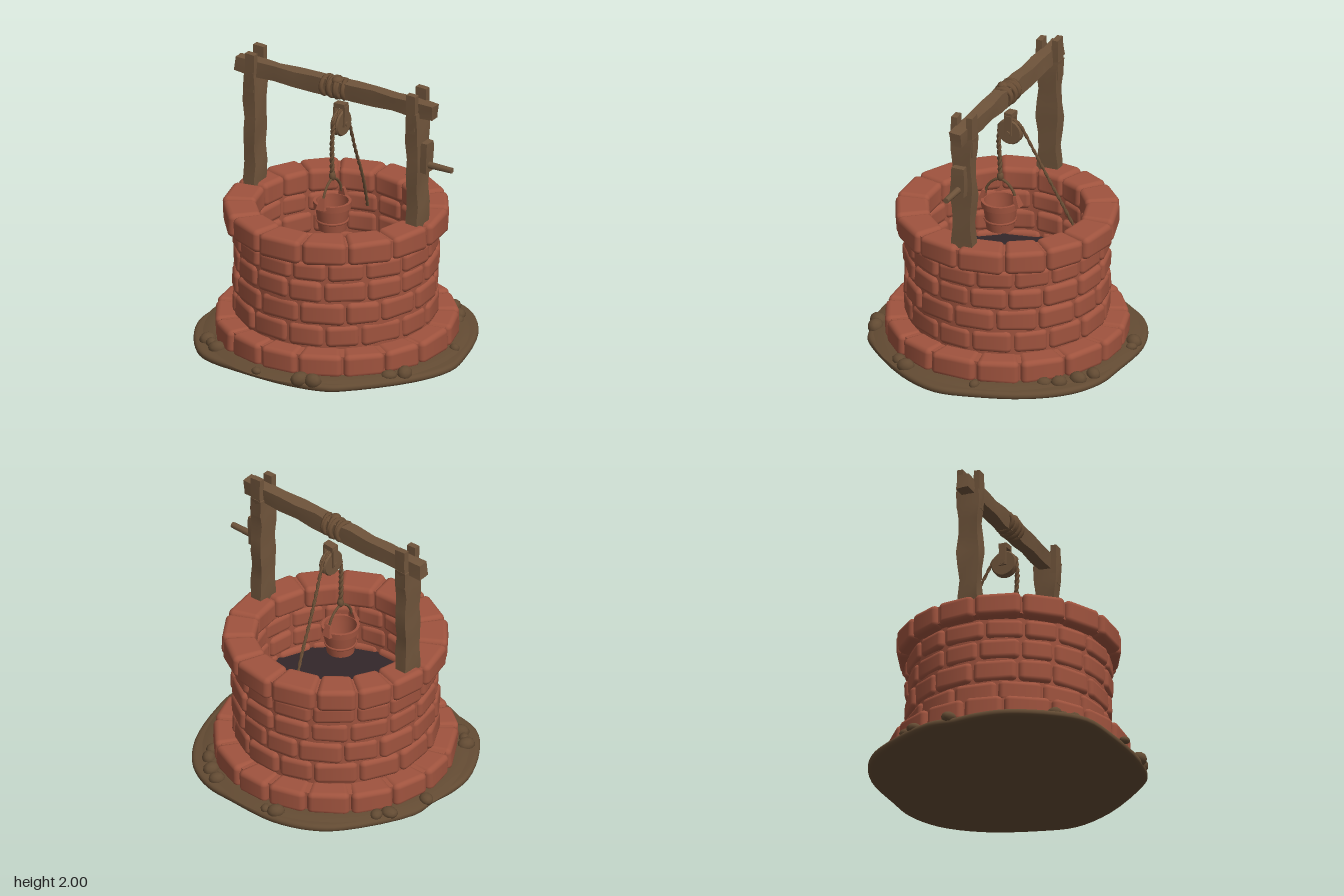
import * as THREE from 'three';
import { mergeGeometries, toCreasedNormals } from 'three/addons/utils/BufferGeometryUtils.js';
import { RoundedBoxGeometry } from 'three/addons/geometries/RoundedBoxGeometry.js';

export function createModel() {
  const model = new THREE.Group();
  model.name = 'well';

  const material = (name, color) => {
    const m = new THREE.MeshStandardMaterial({ color });
    m.name = name;
    return m;
  };
  const brick = material('red brick', 0x9f533e);
  const wood = material('weathered wood', 0x6f543b);
  const earth = material('earth', 0x634b33);
  const rope = material('rope', 0x6a4e35);
  const dark = material('dark floor', 0x32272a);

  let seed = 7;
  const rand = () => (seed = (seed * 16807) % 2147483647) / 2147483647;
  const wobble = (x, y, z) => Math.sin(x * 17 + y * 9) * Math.cos(z * 15 - y * 11 + x * 5);

  const add = (name, geometry, mat, parent = model, x = 0, y = 0, z = 0) => {
    const mesh = new THREE.Mesh(geometry, mat);
    mesh.name = name;
    mesh.position.set(x, y, z);
    parent.add(mesh);
    return mesh;
  };

  // Irregular ground disc
  const rimPoints = [[0, -0.95], [0.22, -0.94], [0.48, -0.82], [0.74, -0.56], [0.9, -0.37], [0.98, -0.13],
    [0.95, 0.18], [0.79, 0.54], [0.64, 0.75], [0.35, 0.88], [-0.15, 0.93], [-0.27, 0.91], [-0.5, 0.76],
    [-0.79, 0.45], [-0.97, 0.19], [-0.98, -0.05], [-0.89, -0.37], [-0.76, -0.54], [-0.63, -0.65], [-0.5, -0.79]];
  const outline = new THREE.CatmullRomCurve3(rimPoints.map(([x, z]) => new THREE.Vector3(x, -z, 0)), true, 'centripetal');
  const disc = new THREE.Shape(outline.getPoints(80).slice(0, 80).map(p => new THREE.Vector2(p.x, p.y)).reverse());
  const ground = new THREE.ExtrudeGeometry(disc, {
    depth: 0.012, bevelThickness: 0.02, bevelSize: 0.03, bevelOffset: -0.03, bevelSegments: 3, curveSegments: 1,
  });
  ground.rotateX(-Math.PI / 2).translate(0, 0.02, 0);
  add('ground', toCreasedNormals(ground, 0.7), earth);

  // Earth banked against the wall
  const bank = [[0.93, 0.045], [0.88, 0.062], [0.83, 0.07], [0.78, 0.07]].map(p => new THREE.Vector2(...p));
  add('earthBank', new THREE.LatheGeometry(bank, 48), earth);

  // Clods lying around the foot
  const clods = [[-0.32, -0.82, 0.055], [-0.23, -0.84, 0.045], [0.45, -0.76, 0.055], [0.52, -0.72, 0.035],
    [0.83, -0.34, 0.05], [0.86, -0.22, 0.055], [0.87, -0.08, 0.05], [0.84, 0.02, 0.045], [-0.89, -0.02, 0.055],
    [-0.86, 0.14, 0.055], [-0.88, 0.05, 0.04], [0.19, 0.84, 0.05], [0.3, 0.83, 0.055], [-0.42, 0.78, 0.06],
    [-0.34, 0.83, 0.055], [-0.58, -0.67, 0.05], [0.72, 0.48, 0.035], [-0.68, 0.58, 0.035]];
  const clodParts = clods.map(([x, z, r]) => {
    const g = new THREE.IcosahedronGeometry(r, 1);
    g.scale(1.15, 0.7 + 0.3 * rand(), 0.95).rotateY(rand() * 6);
    return g.translate(x, 0.062, z);
  });
  add('clods', mergeGeometries(clodParts), earth);

  // One brick: a rounded box bent round the y axis
  function bentBrick(angle, span, y0, y1, rIn, rOut) {
    const mid = (rIn + rOut) / 2;
    const g = new RoundedBoxGeometry(span * mid - 0.008, y1 - y0 - 0.004, rOut - rIn, 3, 0.036);
    const p = g.attributes.position, n = g.attributes.normal;
    const v = new THREE.Vector3(), up = new THREE.Vector3(0, 1, 0);
    const tilt = (rand() - 0.5) * 0.05, push = (rand() - 0.5) * 0.014;
    for (let i = 0; i < p.count; i++) {
      const a = angle + p.getX(i) / mid;
      const r = mid + p.getZ(i) + push + p.getX(i) * tilt;
      const x = r * Math.sin(a), z = r * Math.cos(a), y = (y0 + y1) / 2 + p.getY(i);
      const k = 1 + 0.008 * wobble(x, y, z);
      p.setXYZ(i, x * k, y + 0.004 * wobble(z, y, x), z * k);
      v.fromBufferAttribute(n, i).applyAxisAngle(up, a);
      n.setXYZ(i, v.x, v.y, v.z);
    }
    return g;
  }

  // Courses: bottom, top, inner radius, outer radius, bricks, phase
  const courses = [
    [0.05, 0.22, 0.56, 0.835, 17, 0.03], [0.22, 0.385, 0.55, 0.705, 15, -0.12], [0.385, 0.55, 0.55, 0.705, 15, 0.09],
    [0.55, 0.705, 0.55, 0.705, 16, -0.15], [0.705, 0.85, 0.55, 0.705, 16, -0.11], [0.85, 1.02, 0.54, 0.77, 15, 0.1],
  ];
  const wall = new THREE.Group();
  wall.name = 'wall';
  model.add(wall);
  for (const [y0, y1, rIn, rOut, count, phase] of courses) {
    const weights = Array.from({ length: count }, () => 0.86 + 0.28 * rand());
    const total = weights.reduce((a, b) => a + b);
    let a = phase - Math.PI / count;
    const parts = weights.map(w => {
      const span = w / total * Math.PI * 2;
      a += span;
      return bentBrick(a - span / 2, span, y0, y1, rIn, rOut);
    });
    add('brickCourse', mergeGeometries(parts), brick, wall);
  }

  // Solid core filling the joints
  const core = [[0.57, 0.06], [0.8, 0.06], [0.8, 0.205], [0.682, 0.21], [0.682, 0.86], [0.74, 0.87], [0.74, 0.995],
    [0.57, 0.995], [0.57, 0.06]].map(p => new THREE.Vector2(...p));
  add('wallCore', toCreasedNormals(new THREE.LatheGeometry(core, 48), 0.6), brick, wall);

  // Dark floor down the shaft
  add('shaftFloor', new THREE.CylinderGeometry(0.575, 0.575, 0.02, 40), dark, model, 0, 0.5, 0);

  // Frame: local x runs along the crossbeam
  const frame = new THREE.Group();
  frame.name = 'frame';
  frame.rotation.y = -Math.PI / 4;
  model.add(frame);

  // Rough hewn timber: a subdivided box with uneven faces
  function timber(w, h, d, rough = 0.008, flare = 0) {
    const g = new THREE.BoxGeometry(w, h, d, w > 0.4 ? 10 : 2, h > 0.4 ? 8 : 3, 2);
    const p = g.attributes.position;
    for (let i = 0; i < p.count; i++) {
      const x = p.getX(i), y = p.getY(i), z = p.getZ(i);
      const s = 1 + flare * y / h;
      p.setXYZ(i, x * s + rough * wobble(y, z, x), y + rough * wobble(x * 2, z, y), z * s + rough * wobble(z, x, y));
    }
    return toCreasedNormals(g, 0.6);
  }

  for (const side of [-1, 1]) {
    add('post', timber(0.09, 0.9, 0.15, 0.01, 0.06), wood, frame, side * 0.66, 1.39, 0);
    add('postProng', timber(0.085, 0.3, 0.045, 0.004), wood, frame, side * 0.66, 1.85, -0.06);
    add('postProng', timber(0.075, 0.28, 0.045, 0.004), wood, frame, side * 0.655, 1.84, 0.06);
  }
  add('crossbeam', timber(1.6, 0.115, 0.085, 0.01), wood, frame, 0, 1.863, 0);

  // Rope lashing in the middle of the beam
  for (let i = 0; i < 6; i++) {
    const coil = add('beamLashing', new THREE.TorusGeometry(0.066, 0.018, 6, 16), rope, frame, -0.075 + i * 0.03, 1.864, 0);
    coil.rotation.set(0, Math.PI / 2 + (i % 2 ? 0.2 : -0.14), 0);
    coil.scale.setScalar(0.94 + 0.1 * rand());
  }
  add('lashingKnot', new THREE.IcosahedronGeometry(0.04, 1), rope, frame, 0.02, 1.925, 0.02).scale.y = 0.7;

  // Crank on the outside of one post
  add('crankArm', timber(0.05, 0.22, 0.09, 0.006), wood, frame, 0.735, 1.52, 0);
  const handle = add('crankHandle', new THREE.CylinderGeometry(0.021, 0.026, 0.24, 8), wood, frame, 0.82, 1.463, 0);
  handle.rotation.z = -Math.PI / 2;

  // Pulley with its hanger
  const pulley = new THREE.Group();
  pulley.name = 'pulley';
  pulley.position.set(0.014, 1.59, -0.035);
  frame.add(pulley);
  const wheelProfile = [[0, -0.03], [0.085, -0.03], [0.093, -0.018], [0.075, 0], [0.093, 0.018], [0.085, 0.03], [0, 0.03]];
  const wheel = new THREE.LatheGeometry(wheelProfile.map(p => new THREE.Vector2(...p)), 20);
  add('pulleyWheel', toCreasedNormals(wheel, 0.6), wood, pulley).rotation.z = Math.PI / 2;
  for (const side of [-1, 1]) add('pulleyCheek', timber(0.015, 0.15, 0.05, 0.002), wood, pulley, side * 0.04, 0.055, 0);
  add('pulleyHook', timber(0.085, 0.035, 0.055, 0.003), wood, pulley, 0, 0.13, 0);
  const axle = add('pulleyAxle', new THREE.CylinderGeometry(0.018, 0.018, 0.11, 8), wood, pulley);
  axle.rotation.z = Math.PI / 2;

  // Two strand twisted rope along a path
  function twistedRope(points, radius, turns) {
    const path = new THREE.CatmullRomCurve3(points.map(p => new THREE.Vector3(...p)));
    return mergeGeometries([0, Math.PI].map(offset => {
      const strand = path.getSpacedPoints(60).map((p, i) => {
        const a = offset + i / 60 * turns * Math.PI * 2;
        return p.add(new THREE.Vector3(Math.cos(a) * radius * 0.6, 0, Math.sin(a) * radius * 0.6));
      });
      return new THREE.TubeGeometry(new THREE.CatmullRomCurve3(strand), 90, radius, 6);
    }));
  }
  add('bucketRope', twistedRope([[0.01, 1.63, 0.045], [0.005, 1.5, 0.06], [0, 1.35, 0.055], [0, 1.2, 0.05]], 0.011, 5), rope, frame);
  add('pulleyRope', twistedRope([[0.01, 1.63, 0.045], [0.014, 1.68, -0.035], [0.012, 1.64, -0.115]], 0.009, 2), rope, frame);
  add('tailRope', twistedRope([[0.012, 1.64, -0.115], [-0.03, 1.3, -0.28], [-0.06, 1.02, -0.425], [-0.1, 0.76, -0.545]], 0.008, 8), rope, frame);
  add('ropeKnot', new THREE.IcosahedronGeometry(0.024, 1), rope, frame, 0, 1.22, 0.05).scale.y = 1.5;

  // Bucket hanging in the shaft
  const bucket = new THREE.Group();
  bucket.name = 'bucket';
  bucket.position.set(0, 0.83, 0.05);
  frame.add(bucket);
  const pail = [[0, 0], [0.095, 0], [0.117, 0.16], [0.13, 0.165], [0.132, 0.21], [0.112, 0.21], [0.108, 0.16], [0.088, 0.02], [0, 0.02]];
  const pailGeometry = new THREE.LatheGeometry(pail.map(p => new THREE.Vector2(...p)), 24);
  add('pail', toCreasedNormals(pailGeometry, 0.6), brick, bucket);
  const hoop = add('pailHoop', new THREE.TorusGeometry(0.105, 0.009, 6, 24), brick, bucket, 0, 0.07, 0);
  hoop.rotation.x = Math.PI / 2;
  for (const side of [-1, 1]) {
    const ear = add('pailEar', timber(0.055, 0.085, 0.028, 0.003, -0.6), brick, bucket, 0, 0.225, side * 0.128);
    ear.rotation.x = -side * 0.25;
  }
  const bail = [[0, 0.24, -0.118], [0, 0.3, -0.095], [0, 0.35, -0.05], [0, 0.37, 0], [0, 0.35, 0.05], [0, 0.3, 0.095], [0, 0.24, 0.118]];
  const bailCurve = new THREE.CatmullRomCurve3(bail.map(p => new THREE.Vector3(...p)));
  add('pailHandle', new THREE.TubeGeometry(bailCurve, 30, 0.01, 6), rope, bucket);

  return model;
}
